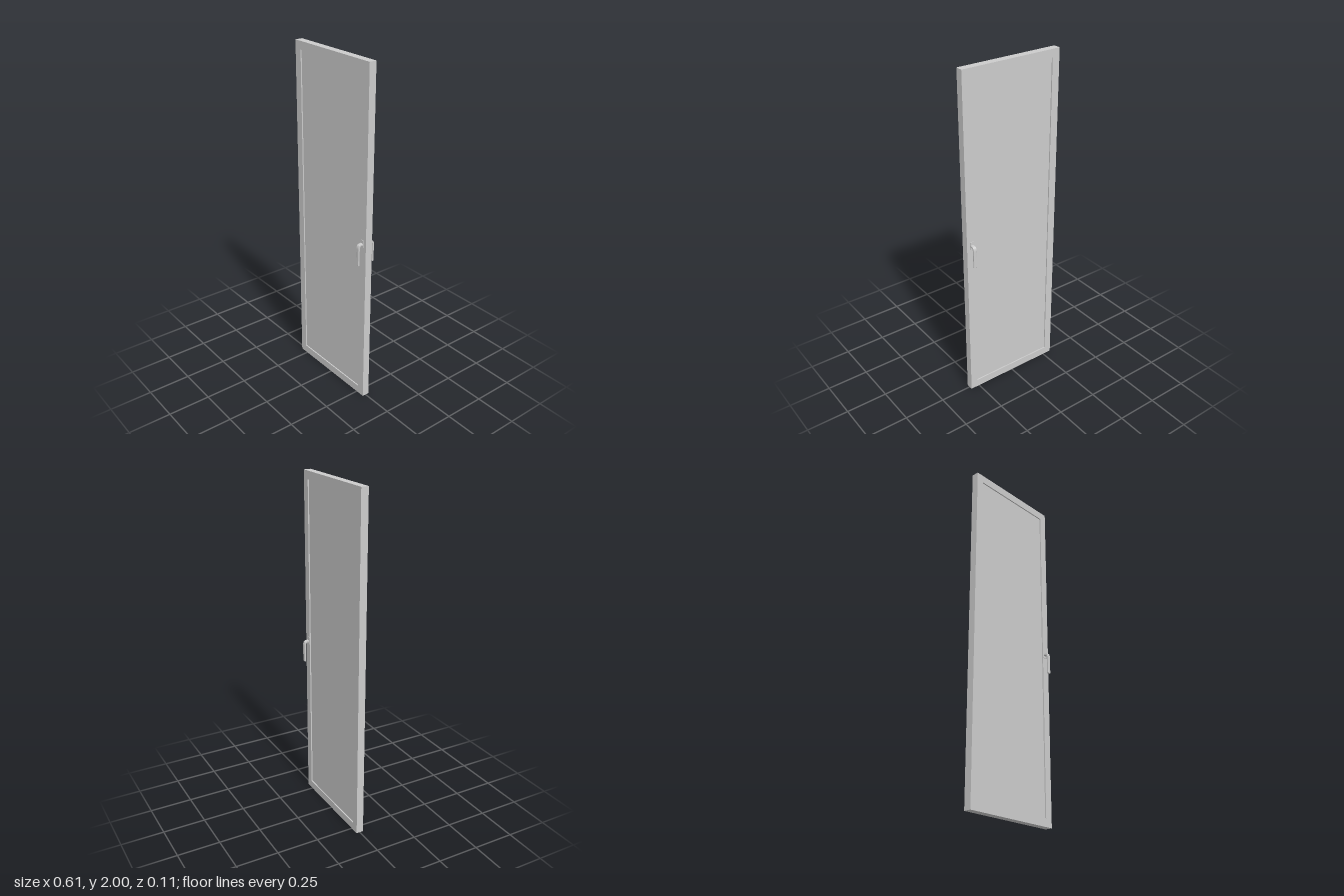
import * as THREE from 'three';

const material = new THREE.MeshStandardMaterial({ color: 0xcccccc });
const W = 0.306, D = 0.0215, H = 2;

function addMesh(parent, name, geometry, x = 0, y = 0, z = 0) {
  const mesh = new THREE.Mesh(geometry, material);
  mesh.name = name;
  mesh.position.set(x, y, z);
  parent.add(mesh);
  return mesh;
}

function rectPath(path, x0, y0, x1, y1) {
  path.moveTo(x0, y0).lineTo(x1, y0).lineTo(x1, y1).lineTo(x0, y1).closePath();
  return path;
}

// Lever handle: a stub from the door that bends down into a flat grip
function createHandle(name) {
  const handle = new THREE.Group();
  handle.name = name;

  addMesh(handle, 'handlePlate', new THREE.BoxGeometry(0.022, 0.045, 0.003), 0, 1.007, D + 0.001);

  const bevel = 0.002;
  const side = new THREE.Shape();
  side.moveTo(D - 0.002, 1.008);
  side.lineTo(0.036, 1.008);
  side.bezierCurveTo(0.047, 1.008, 0.053, 1.0, 0.053, 0.982);
  side.lineTo(0.053, 0.884);
  side.quadraticCurveTo(0.05, 0.88, 0.047, 0.884);
  side.lineTo(0.047, 0.98);
  side.bezierCurveTo(0.047, 0.994, 0.042, 1.0, 0.034, 1.0);
  side.lineTo(D - 0.002, 1.0);
  side.closePath();
  const lever = new THREE.ExtrudeGeometry(side, {
    depth: 0.016, curveSegments: 10, bevelEnabled: true,
    bevelThickness: bevel, bevelSize: bevel, bevelSegments: 3,
  });
  lever.translate(0, 0, -0.008);
  lever.rotateY(-Math.PI / 2);
  addMesh(handle, 'lever', lever);
  return handle;
}

export function createModel() {
  const door = new THREE.Group();
  door.name = 'door';

  // Frame with a rectangular opening
  const outline = rectPath(new THREE.Shape(), -W, 0, W, H);
  outline.holes.push(rectPath(new THREE.Path(), -0.261, 0.047, 0.261, 1.953));
  const frame = new THREE.ExtrudeGeometry(outline, { depth: 2 * D, bevelEnabled: false });
  addMesh(door, 'frame', frame, 0, 0, -D);

  // Infill panel, set back a little on both faces
  addMesh(door, 'panel', new THREE.BoxGeometry(0.522, 1.906, 2 * (D - 0.007)), 0, 1, 0);

  // One handle on each face
  ['frontHandle', 'backHandle'].forEach((name, i) => {
    const handle = createHandle(name);
    handle.position.x = 0.275;
    handle.rotation.y = i * Math.PI;
    door.add(handle);
  });

  return door;
}
